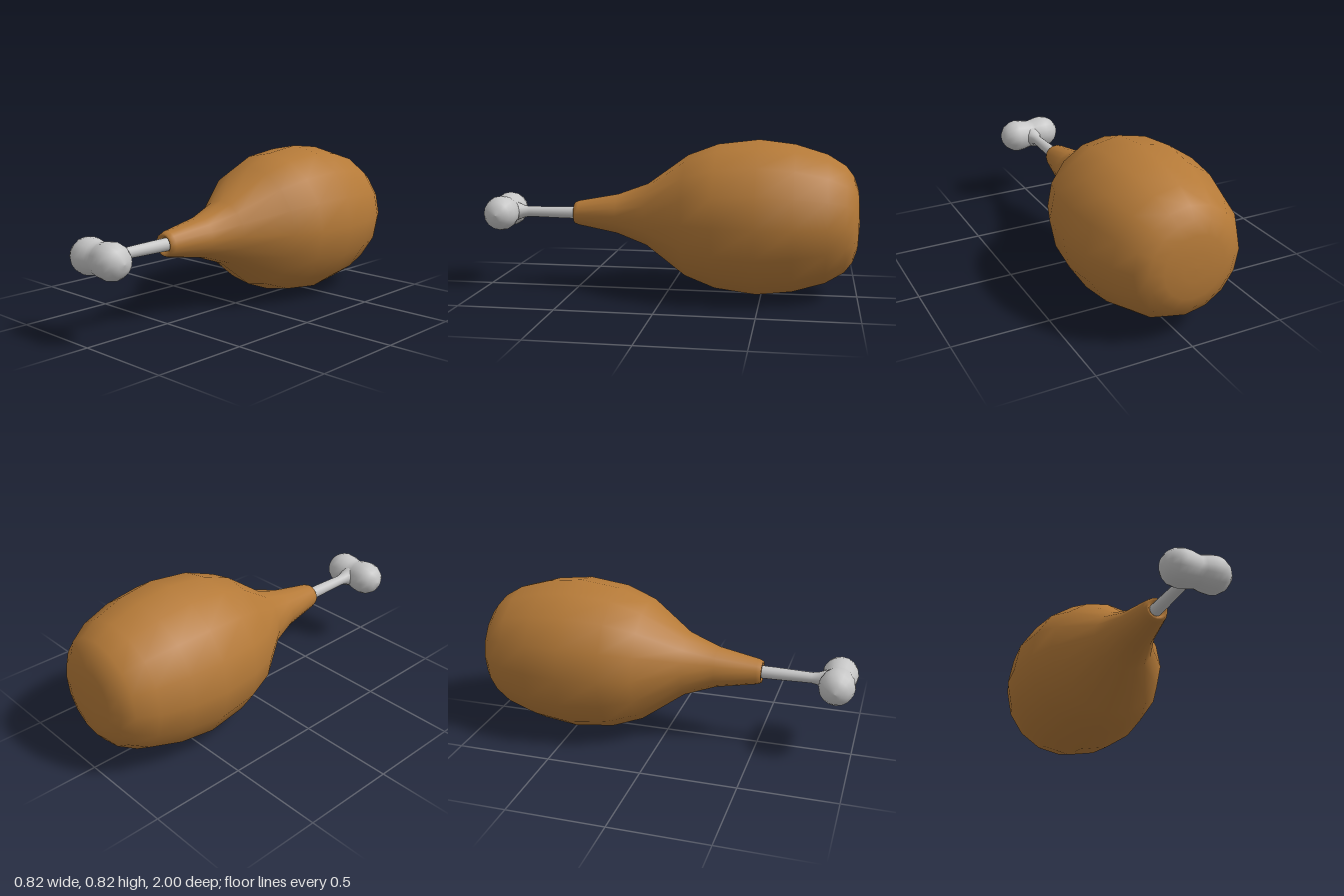
import * as THREE from 'three';

const CENTRE_Y = 0.412;

// Lathe from [radius, distance along axis] pairs
function lathe(points, sides) {
  return new THREE.LatheGeometry(points.map(([r, d]) => new THREE.Vector2(r, d)), sides);
}

export function createModel() {
  const group = new THREE.Group();
  const roastedMeat = new THREE.MeshStandardMaterial({ color: 0xb57a38 });
  const boneGrey = new THREE.MeshStandardMaterial({ color: 0xc6c6c6 });

  const add = (name, geometry, material) => {
    const mesh = new THREE.Mesh(geometry, material);
    mesh.name = name;
    mesh.position.y = CENTRE_Y;
    group.add(mesh);
    return mesh;
  };

  // Meat: plump at the back, tapering to a narrow neck at the front
  const meat = lathe([
    [0, -1], [0.07, -0.999], [0.16, -0.99], [0.225, -0.967], [0.28, -0.925],
    [0.338, -0.83], [0.388, -0.665], [0.41, -0.48], [0.384, -0.265],
    [0.324, -0.105], [0.168, 0.11], [0.107, 0.275], [0.067, 0.49],
    [0.058, 0.513], [0.046, 0.514], [0.03, 0.495],
  ], 16);
  meat.rotateX(Math.PI / 2);
  add('meat', meat, roastedMeat);

  // Bone shaft, flaring a little where it meets the knuckle
  const shaft = lathe([
    [0.034, 0.46], [0.032, 0.6], [0.028, 0.77], [0.033, 0.8], [0.045, 0.83], [0.06, 0.86],
  ], 16);
  shaft.rotateX(Math.PI / 2);
  add('boneShaft', shaft, boneGrey);

  // Knuckle: two round lobes blended at a shallow waist, lying along x
  const lobe = [
    [0, 0.177], [0.035, 0.17], [0.066, 0.149], [0.086, 0.118],
    [0.093, 0.085], [0.09, 0.05], [0.083, 0.02],
  ];
  const profile = [
    ...lobe.map(([r, d]) => [r, -d]),
    [0.079, 0],
    ...lobe.slice().reverse(),
  ];
  const knuckle = lathe(profile, 16);
  knuckle.rotateZ(-Math.PI / 2);
  add('boneKnuckle', knuckle, boneGrey).position.z = 0.906;

  return group;
}
